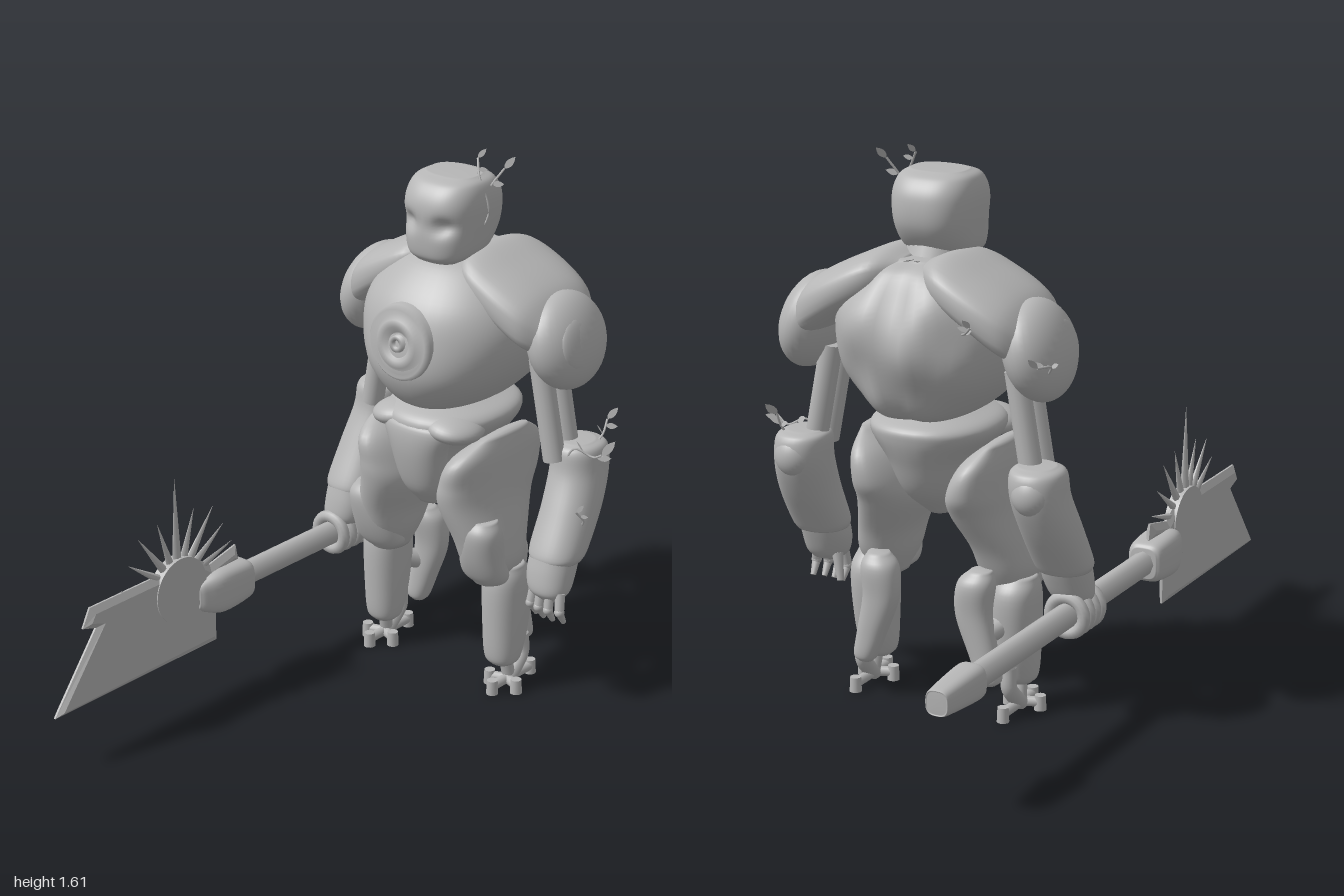
import * as THREE from 'three';

const V = (x, y, z) => new THREE.Vector3(x, y, z);
const stone = new THREE.MeshStandardMaterial({ color: 0xb6b6b6, side: THREE.DoubleSide });
stone.name = 'grey stone';

function add(parent, name, geometry) {
  const m = new THREE.Mesh(geometry, stone);
  m.name = name;
  parent.add(m);
  return m;
}

// Smooth closed body through rounded cross-sections [x, y, z, ru, rv].
// Rings lie in x/z for axis 'y', z/y for axis 'x', y/x for axis 'z'.
function loft(sections, { axis = 'y', power = 2.2, sides = 36, steps = 6, shape = null } = {}) {
  const planes = { y: ['x', 'z'], x: ['z', 'y'], z: ['y', 'x'] };
  const [u, v] = planes[axis];
  const ai = 'xyz'.indexOf(axis);
  const s = sections[sections.length - 1][ai] < sections[0][ai] ? [...sections].reverse() : sections;
  const centre = new THREE.CatmullRomCurve3(s.map(q => V(q[0], q[1], q[2])), false, 'catmullrom', 0.5);
  const radii = new THREE.CatmullRomCurve3(s.map(q => V(q[3], q[4], 0)), false, 'catmullrom', 0.5);
  const rows = (s.length - 1) * steps, pos = [], idx = [];
  const bend = a => Math.sign(a) * Math.pow(Math.abs(a), 2 / power);
  const put = p => { if (shape) shape(p); pos.push(p.x, p.y, p.z); };
  for (let j = 0; j <= rows; j++) {
    const c = centre.getPoint(j / rows), r = radii.getPoint(j / rows);
    for (let i = 0; i < sides; i++) {
      const t = i / sides * Math.PI * 2, p = c.clone();
      p[u] += bend(Math.cos(t)) * Math.max(r.x, 0.002);
      p[v] += bend(Math.sin(t)) * Math.max(r.y, 0.002);
      put(p);
    }
  }
  put(centre.getPoint(0));
  put(centre.getPoint(1));
  const bottom = (rows + 1) * sides, top = bottom + 1;
  for (let i = 0; i < sides; i++) {
    const n = (i + 1) % sides;
    for (let j = 0; j < rows; j++) {
      const a = j * sides + i, b = j * sides + n;
      idx.push(a, a + sides, b, b, a + sides, b + sides);
    }
    idx.push(bottom, i, n, top, rows * sides + n, rows * sides + i);
  }
  const g = new THREE.BufferGeometry();
  g.setAttribute('position', new THREE.Float32BufferAttribute(pos, 3));
  g.setIndex(idx);
  g.computeVertexNormals();
  return g;
}

// Straight bar between two points
function rod(parent, name, p, q, r1, r2 = r1, sides = 14) {
  const d = q.clone().sub(p);
  const m = add(parent, name, new THREE.CylinderGeometry(r2, r1, d.length(), sides));
  m.position.copy(p).addScaledVector(d, 0.5);
  m.quaternion.setFromUnitVectors(V(0, 1, 0), d.normalize());
  return m;
}

function ball(parent, name, c, rx, ry, rz, tilt = 0) {
  const m = add(parent, name, new THREE.SphereGeometry(1, 32, 22));
  m.position.copy(c);
  m.scale.set(rx, ry, rz);
  m.rotation.z = tilt;
  return m;
}

// Thin twig through the points, with pointed leaves along it
function sprig(parent, points, leafSize = 0.045) {
  const g = new THREE.Group();
  g.name = 'sprig';
  const curve = new THREE.CatmullRomCurve3(points);
  add(g, 'twig', new THREE.TubeGeometry(curve, 12, 0.0035, 5));
  const leaf = new THREE.Shape();
  leaf.moveTo(0, 0);
  leaf.quadraticCurveTo(0.45, 0.4, 0, 1);
  leaf.quadraticCurveTo(-0.45, 0.4, 0, 0);
  [0.5, 0.78, 1].forEach((t, i) => {
    const m = add(g, 'leaf', new THREE.ShapeGeometry(leaf, 5));
    m.position.copy(curve.getPoint(t));
    m.scale.setScalar(leafSize * (0.6 + 0.4 * t));
    m.rotation.set(0.4 - i * 0.4, 0.6 * i - 0.5, [1.3, -1.4, -0.5][i]);
  });
  parent.add(g);
}

function buildTrunk(body) {
  // Worn stone torso with a shallow spine groove
  const worn = p => {
    const k = 0.006 * (Math.sin(p.x * 31 + p.y * 17) + Math.sin(p.y * 27 - p.x * 12));
    if (p.z < -0.25) p.z += k + 0.02 * Math.exp(-((p.x / 0.035) ** 2)) * (p.z < -0.4 ? 1 : 0);
    p.x *= 1 + k;
  };
  add(body, 'torso', loft([
    [0, 0.86, -0.26, 0.07, 0.13], [0, 0.9, -0.265, 0.15, 0.215], [0, 0.99, -0.265, 0.235, 0.265],
    [0, 1.1, -0.28, 0.268, 0.275], [0, 1.2, -0.29, 0.25, 0.25], [0, 1.29, -0.3, 0.17, 0.175], [0, 1.32, -0.3, 0.08, 0.1]],
    { shape: worn, sides: 48 }));
  // Ringed core on the chest
  const profile = [[0.118, -0.05], [0.112, -0.005], [0.1, 0.008], [0.086, -0.002], [0.07, 0.014], [0.05, 0.014],
    [0.034, 0], [0.026, 0], [0.024, 0.014], [0.012, 0.014], [0.01, -0.004], [0, -0.004]];
  const core = add(body, 'chestCore', new THREE.LatheGeometry(profile.map(q => new THREE.Vector2(...q)), 40));
  core.rotation.x = Math.PI / 2 - 0.08;
  core.position.set(0, 1.095, -0.008);
  rod(body, 'neck', V(0, 1.25, -0.28), V(0, 1.36, -0.25), 0.1, 0.085, 24);
  // Blocky head with hollow eyes
  const face = p => {
    if (p.z < -0.2) return;
    for (const s of [-1, 1]) {
      const d = ((p.x - s * 0.06) / 0.032) ** 2 + ((p.y - 1.42) / 0.025) ** 2;
      p.z -= 0.025 * Math.exp(-d);
    }
  };
  add(body, 'head', loft([
    [0, 1.305, -0.19, 0.07, 0.055], [0, 1.33, -0.22, 0.102, 0.105], [0, 1.4, -0.243, 0.116, 0.135],
    [0, 1.48, -0.247, 0.121, 0.135], [0, 1.53, -0.248, 0.108, 0.105], [0, 1.549, -0.25, 0.08, 0.06]],
    { power: 2.6, sides: 56, steps: 9, shape: face }));
  // Hips
  add(body, 'pelvis', loft([
    [0, 0.57, -0.22, 0.04, 0.07], [0, 0.65, -0.24, 0.09, 0.15], [0, 0.75, -0.25, 0.13, 0.19],
    [0, 0.82, -0.255, 0.178, 0.21], [0, 0.855, -0.26, 0.17, 0.2], [0, 0.88, -0.26, 0.11, 0.14]]));
  add(body, 'groinPlate', loft([
    [0, 0.565, -0.16, 0.04, 0.04], [0, 0.63, -0.13, 0.075, 0.06], [0, 0.74, -0.1, 0.095, 0.06],
    [0, 0.82, -0.1, 0.12, 0.06], [0, 0.84, -0.11, 0.08, 0.04]]));
  for (const s of [-1, 1]) ball(body, 'hipPad', V(s * 0.1, 0.825, -0.14), 0.085, 0.04, 0.09, s * -0.15);
}

function buildArm(body, s) {
  const arm = new THREE.Group();
  arm.name = s > 0 ? 'leftArm' : 'rightArm';
  body.add(arm);
  const side = rows => rows.map(([x, ...r]) => [s * x, ...r]);
  // Sloping mantle and round shoulder
  add(arm, 'mantle', loft(side([
    [0.03, 1.285, -0.34, 0.08, 0.035], [0.1, 1.275, -0.325, 0.165, 0.066], [0.2, 1.225, -0.325, 0.185, 0.078],
    [0.3, 1.165, -0.325, 0.17, 0.085], [0.355, 1.13, -0.325, 0.12, 0.06]]), { axis: 'x', power: 2.6 }));
  ball(arm, 'shoulder', V(s * 0.35, 1.1, -0.33), 0.085, 0.142, 0.148, s * 0.25);
  ball(arm, 'shoulderBoss', V(s * 0.408, 1.11, -0.32), 0.024, 0.085, 0.09, s * 0.22);
  for (const dz of [-0.034, 0.034])
    rod(arm, 'upperArmRod', V(s * 0.345, 0.74, -0.325 + dz), V(s * 0.29, 1.04, -0.32 + dz), 0.033);
  // Heavy forearm with elbow knob
  add(arm, 'forearm', loft(side([
    [0.365, 0.79, -0.37, 0.05, 0.05], [0.37, 0.77, -0.375, 0.075, 0.085], [0.375, 0.7, -0.37, 0.079, 0.092],
    [0.385, 0.6, -0.325, 0.082, 0.092], [0.39, 0.49, -0.262, 0.083, 0.082], [0.39, 0.46, -0.25, 0.074, 0.072]])));
  ball(arm, 'elbow', V(s * 0.375, 0.72, -0.415), 0.06, 0.065, 0.06);
  add(arm, 'wrist', loft(side([
    [0.39, 0.49, -0.25, 0.07, 0.07], [0.39, 0.43, -0.23, 0.072, 0.065], [0.395, 0.38, -0.215, 0.064, 0.055],
    [0.4, 0.355, -0.21, 0.045, 0.035]])));
  for (let i = 0; i < 4; i++) {
    if (s > 0) { // open hand
      const x = 0.355 + i * 0.031, z = -0.185 - Math.abs(i - 1.5) * 0.008;
      const mid = V(x + (i - 1.5) * 0.004, 0.325, z + 0.01);
      rod(arm, 'finger', V(x, 0.38, z), mid, 0.015, 0.014, 10);
      ball(arm, 'knuckle', mid, 0.015, 0.015, 0.015);
      rod(arm, 'fingertip', mid, V(x + (i - 1.5) * 0.002, 0.285, z - 0.015), 0.013, 0.008, 10);
    } else { // fist around the shaft
      const f = add(arm, 'finger', new THREE.TorusGeometry(0.052, 0.018, 10, 28));
      f.position.set(-0.405, 0.33, -0.265 + i * 0.034);
    }
  }
  if (s > 0) rod(arm, 'thumb', V(0.35, 0.38, -0.24), V(0.335, 0.3, -0.25), 0.017, 0.01, 10);
}

function buildLeg(body, s) {
  const leg = new THREE.Group();
  leg.name = s > 0 ? 'leftLeg' : 'rightLeg';
  body.add(leg);
  const side = rows => rows.map(([x, ...r]) => [s * x, ...r]);
  add(leg, 'thigh', loft(side([
    [0.2, 0.81, -0.25, 0.018, 0.09], [0.17, 0.75, -0.235, 0.06, 0.19], [0.15, 0.67, -0.235, 0.085, 0.2],
    [0.148, 0.6, -0.22, 0.095, 0.175], [0.18, 0.5, -0.205, 0.088, 0.13], [0.195, 0.42, -0.2, 0.083, 0.1],
    [0.195, 0.35, -0.2, 0.05, 0.06]])));
  add(leg, 'kneeGuard', loft(side([
    [0.215, 0.57, -0.13, 0.04, 0.04], [0.215, 0.53, -0.125, 0.06, 0.055], [0.205, 0.45, -0.14, 0.072, 0.055],
    [0.2, 0.38, -0.165, 0.076, 0.05], [0.2, 0.345, -0.18, 0.04, 0.03]])));
  add(leg, 'shin', loft(side([
    [0.23, 0.41, -0.22, 0.05, 0.05], [0.23, 0.35, -0.227, 0.066, 0.08], [0.23, 0.2, -0.22, 0.062, 0.07],
    [0.23, 0.11, -0.21, 0.053, 0.052], [0.23, 0.085, -0.21, 0.035, 0.035]])));
  add(leg, 'calf', loft(side([
    [0.165, 0.44, -0.32, 0.03, 0.03], [0.155, 0.4, -0.33, 0.055, 0.05], [0.15, 0.31, -0.335, 0.055, 0.04],
    [0.18, 0.2, -0.335, 0.045, 0.035], [0.2, 0.13, -0.335, 0.036, 0.032], [0.2, 0.11, -0.335, 0.02, 0.02]])));
  rod(leg, 'calfLink', V(s * 0.18, 0.25, -0.33), V(s * 0.225, 0.28, -0.24), 0.03);
  // Curved ankle and cross-shaped foot
  const ankle = new THREE.CatmullRomCurve3([V(s * 0.235, 0.15, -0.29), V(s * 0.238, 0.09, -0.29),
    V(s * 0.24, 0.055, -0.26), V(s * 0.24, 0.025, -0.22)]);
  add(leg, 'ankle', new THREE.TubeGeometry(ankle, 16, 0.023, 12));
  rod(leg, 'shinPin', V(s * 0.235, 0.1, -0.215), V(s * 0.24, 0.03, -0.23), 0.02);
  const ends = [[0, -0.15], [0, -0.33], [-0.05, -0.2], [0.05, -0.2]];
  for (const [dx, z] of ends) {
    const x = s * 0.24 + dx;
    rod(leg, 'footBar', V(s * 0.24, 0.028, -0.22), V(x, 0.028, z), 0.015);
    rod(leg, 'toePad', V(x, 0.004, z), V(x, 0.048, z), 0.018, 0.016);
  }
}

function buildWeapon(root) {
  const w = new THREE.Group();
  w.name = 'poleBlade';
  w.position.x = -0.445;
  root.add(w);
  const y = 0.33;
  rod(w, 'shaft', V(0, y, -0.84), V(0, y, 0.3), 0.037, 0.037, 8).scale.x = 0.9;
  add(w, 'endCap', loft([
    [0, y, -1, 0.03, 0.028], [0, y, -0.985, 0.038, 0.036], [0, y, -0.83, 0.05, 0.046], [0, y, -0.805, 0.04, 0.038]],
    { axis: 'z', power: 3 }));
  add(w, 'socket', loft([
    [0, y, 0.22, 0.045, 0.04], [0, y, 0.245, 0.06, 0.055], [0, y, 0.35, 0.068, 0.058], [0, y, 0.41, 0.05, 0.035],
    [0, y, 0.43, 0.035, 0.02]], { axis: 'z', power: 3.5 }));
  // Broad blade with a bevelled edge
  const outline = [[0.35, 0.165], [1, 0.165], [0.83, 0.385], [0.88, 0.4], [0.85, 0.455], [0.62, 0.455], [0.42, 0.45],
    [0.37, 0.415], [0.26, 0.44], [0.25, 0.39], [0.35, 0.37]];
  const blade = new THREE.ExtrudeGeometry(new THREE.Shape(outline.map(q => new THREE.Vector2(...q))),
    { depth: 0.006, bevelThickness: 0.012, bevelSize: 0.02, bevelOffset: -0.02, bevelSegments: 1 });
  blade.translate(0, 0, -0.003).rotateY(-Math.PI / 2);
  add(w, 'blade', blade);
  // Sunburst of spikes on its back
  const hub = add(w, 'spikeHub', new THREE.CylinderGeometry(0.1, 0.1, 0.036, 36));
  hub.rotation.z = Math.PI / 2;
  hub.position.set(0, 0.385, 0.5);
  for (let i = -4; i <= 4; i++) {
    const a = i * 0.32, len = i === 0 ? 0.34 : i % 2 ? 0.235 : 0.27 - Math.abs(i) * 0.008;
    const spike = rod(w, 'spike', V(0, 0.39, 0.5),
      V(0, 0.39 + len * Math.cos(a), 0.5 + len * Math.sin(a)), 0.021, 0.0005, 6);
    spike.scale.x = 0.8;
  }
}

export function createModel() {
  const root = new THREE.Group();
  root.name = 'stoneGuardian';
  const body = new THREE.Group();
  body.name = 'body';
  body.position.x = -0.04;
  root.add(body);
  buildTrunk(body);
  for (const s of [-1, 1]) {
    buildArm(body, s);
    buildLeg(body, s);
  }
  buildWeapon(root);
  // Sprigs growing from the stone
  sprig(root, [V(0.04, 1.36, -0.2), V(0.08, 1.43, -0.25), V(0.065, 1.5, -0.27), V(0.1, 1.57, -0.3)]);
  sprig(root, [V(0.06, 1.4, -0.28), V(0.085, 1.47, -0.25), V(0.05, 1.55, -0.25), V(0.02, 1.59, -0.28)], 0.035);
  sprig(root, [V(0.34, 0.74, -0.29), V(0.37, 0.79, -0.3), V(0.42, 0.77, -0.32), V(0.46, 0.79, -0.31)], 0.055);
  sprig(root, [V(0.36, 0.76, -0.4), V(0.38, 0.8, -0.42), V(0.38, 0.84, -0.44)]);
  sprig(root, [V(0.4, 0.55, -0.28), V(0.43, 0.59, -0.27), V(0.42, 0.62, -0.25)], 0.03);
  sprig(root, [V(-0.44, 1.04, -0.4), V(-0.48, 1.09, -0.44), V(-0.47, 1.1, -0.5)], 0.04);
  sprig(root, [V(-0.36, 0.68, -0.26), V(-0.31, 0.66, -0.17), V(-0.27, 0.65, -0.13)], 0.05);
  sprig(root, [V(-0.22, 1.15, -0.46), V(-0.26, 1.17, -0.51), V(-0.28, 1.19, -0.52)], 0.035);
  return root;
}
